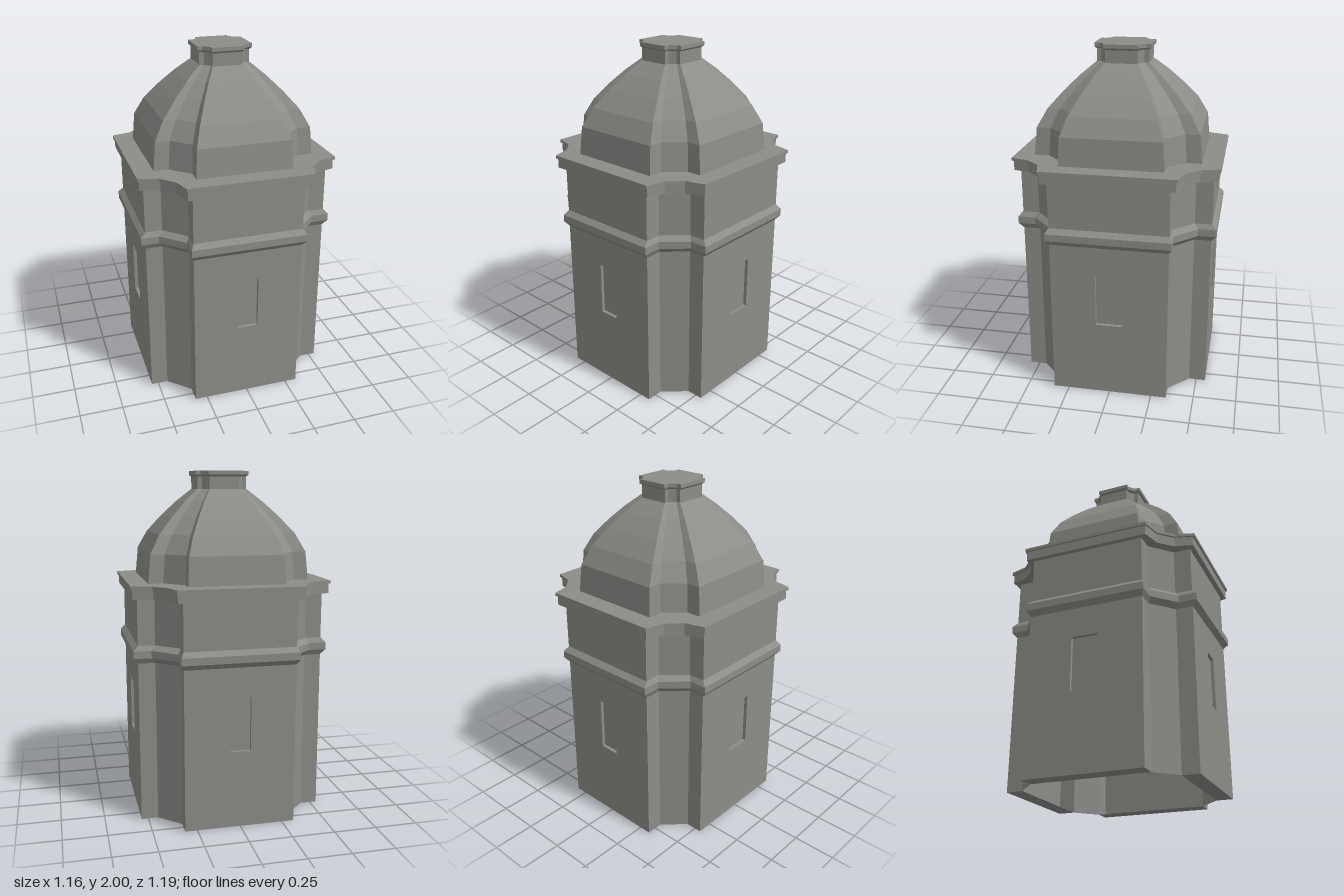
import * as THREE from 'three';

// Warm grey stone
const material = new THREE.MeshStandardMaterial({ color: 0x8c8c88, flatShading: true, side: THREE.DoubleSide });

// Mirror one corner's [x, z] points into a full notched-square outline
function outline(corner) {
  const back = [...corner].reverse();
  return [
    ...corner,
    ...back.map(([x, z]) => [x, -z]),
    ...corner.map(([x, z]) => [-x, -z]),
    ...back.map(([x, z]) => [-x, z]),
  ];
}

const WALL = outline([[0.32, 0.555], [0.32, 0.457], [0.443, 0.34], [0.54, 0.34]]);
const CORNICE = outline([[0.36, 0.595], [0.39, 0.49], [0.465, 0.41], [0.578, 0.38]]);
const WALL_TOP = 1.31;

function addMesh(parent, name, geometry) {
  const mesh = new THREE.Mesh(geometry, material);
  mesh.name = name;
  parent.add(mesh);
  return mesh;
}

// Stack scaled copies of an outline at [y, scale] levels, optionally capped
function loft(parent, name, points, levels, capped = true) {
  const pos = [];
  const n = points.length;
  const at = ([y, s], i) => [points[i % n][0] * s, y, points[i % n][1] * s];
  for (let k = 0; k < levels.length - 1; k++) {
    for (let i = 0; i < n; i++) {
      const a = at(levels[k], i), b = at(levels[k], i + 1);
      const c = at(levels[k + 1], i + 1), d = at(levels[k + 1], i);
      pos.push(...a, ...b, ...c, ...a, ...c, ...d);
    }
  }
  if (capped) {
    const lo = levels[0], hi = levels[levels.length - 1];
    for (let i = 0; i < n; i++) {
      pos.push(0, hi[0], 0, ...at(hi, i), ...at(hi, i + 1));
      pos.push(0, lo[0], 0, ...at(lo, i + 1), ...at(lo, i));
    }
  }
  const geometry = new THREE.BufferGeometry();
  geometry.setAttribute('position', new THREE.Float32BufferAttribute(pos, 3));
  geometry.computeVertexNormals();
  addMesh(parent, name, geometry);
}

// Flat upright panel standing between two [x, z] points
function uprightPanel(parent, name, [x0, z0], [x1, z1], y0, y1) {
  const panel = addMesh(parent, name, new THREE.PlaneGeometry(Math.hypot(x1 - x0, z1 - z0), y1 - y0));
  panel.position.set((x0 + x1) / 2, (y0 + y1) / 2, (z0 + z1) / 2);
  panel.rotation.y = Math.atan2(z0 - z1, x1 - x0);
}

// Level panel facing down
function levelPanel(parent, name, width, depth, y, z) {
  const panel = addMesh(parent, name, new THREE.PlaneGeometry(width, depth));
  panel.position.set(0, y, z);
  panel.rotation.x = Math.PI / 2;
}

function rectangle(Type, halfWidth, y0, y1) {
  return new Type([[-halfWidth, y0], [halfWidth, y0], [halfWidth, y1], [-halfWidth, y1]]
    .map(([x, y]) => new THREE.Vector2(x, y)));
}

// Thin wall with side returns, an inward foot flange and a shallow blind window
function wall(name, halfWidth, distance, returnDepth, windowHalf, angle) {
  const group = new THREE.Group();
  group.name = name;
  const y0 = 0.45, y1 = 0.763, recess = 0.02;
  const inner = distance - recess;

  const shape = rectangle(THREE.Shape, halfWidth, 0, WALL_TOP);
  shape.holes.push(rectangle(THREE.Path, windowHalf, y0, y1));
  addMesh(group, 'wallFace', new THREE.ShapeGeometry(shape)).position.z = distance;

  uprightPanel(group, 'windowPanel', [-windowHalf, inner], [windowHalf, inner], y0, y1);
  for (const y of [y0, y1]) levelPanel(group, 'windowLedge', windowHalf * 2, recess, y, distance - recess / 2);
  for (const side of [-1, 1]) {
    uprightPanel(group, 'windowJamb', [side * windowHalf, distance], [side * windowHalf, inner], y0, y1);
    const x = side * halfWidth, ends = [[x, distance], [x, distance - returnDepth]];
    if (side < 0) ends.reverse();
    uprightPanel(group, 'wallReturn', ...ends, 0, WALL_TOP);
  }
  levelPanel(group, 'footFlange', halfWidth * 2, returnDepth, 0, distance - returnDepth / 2);
  group.rotation.y = angle;
  return group;
}

export function createModel() {
  const model = new THREE.Group();
  model.name = 'domedTower';

  // Hollow tower body
  model.add(
    wall('frontWall', 0.32, 0.555, 0.098, 0.06, 0),
    wall('leftWall', 0.34, 0.54, 0.097, 0.077, Math.PI / 2),
    wall('backWall', 0.32, 0.555, 0.098, 0.06, Math.PI),
    wall('rightWall', 0.34, 0.54, 0.097, 0.077, -Math.PI / 2),
  );
  // Diagonal walls closing the notched corners
  for (let i = 1; i < WALL.length; i += 4) {
    uprightPanel(model, 'cornerWall', WALL[i], WALL[i + 1], 0, WALL_TOP);
  }

  // Moulded belt around the walls
  loft(model, 'beltMoulding', WALL, [[0.937, 1], [0.968, 1.05], [1.01, 1.05], [1.038, 1]], false);

  // Two-step cornice
  loft(model, 'corniceBase', CORNICE, [[1.305, 0.982], [1.362, 0.982]]);
  loft(model, 'corniceSlab', CORNICE, [[1.362, 1], [1.379, 1]]);

  // Ribbed dome
  loft(model, 'dome', WALL, [
    [1.379, 0.867], [1.54, 0.84], [1.645, 0.735], [1.742, 0.58], [1.826, 0.425], [1.895, 0.275],
  ]);

  // Lantern stub and its cap
  loft(model, 'lantern', WALL, [[1.89, 0.27], [1.967, 0.27], [1.978, 0.293], [2, 0.293]]);
  return model;
}
